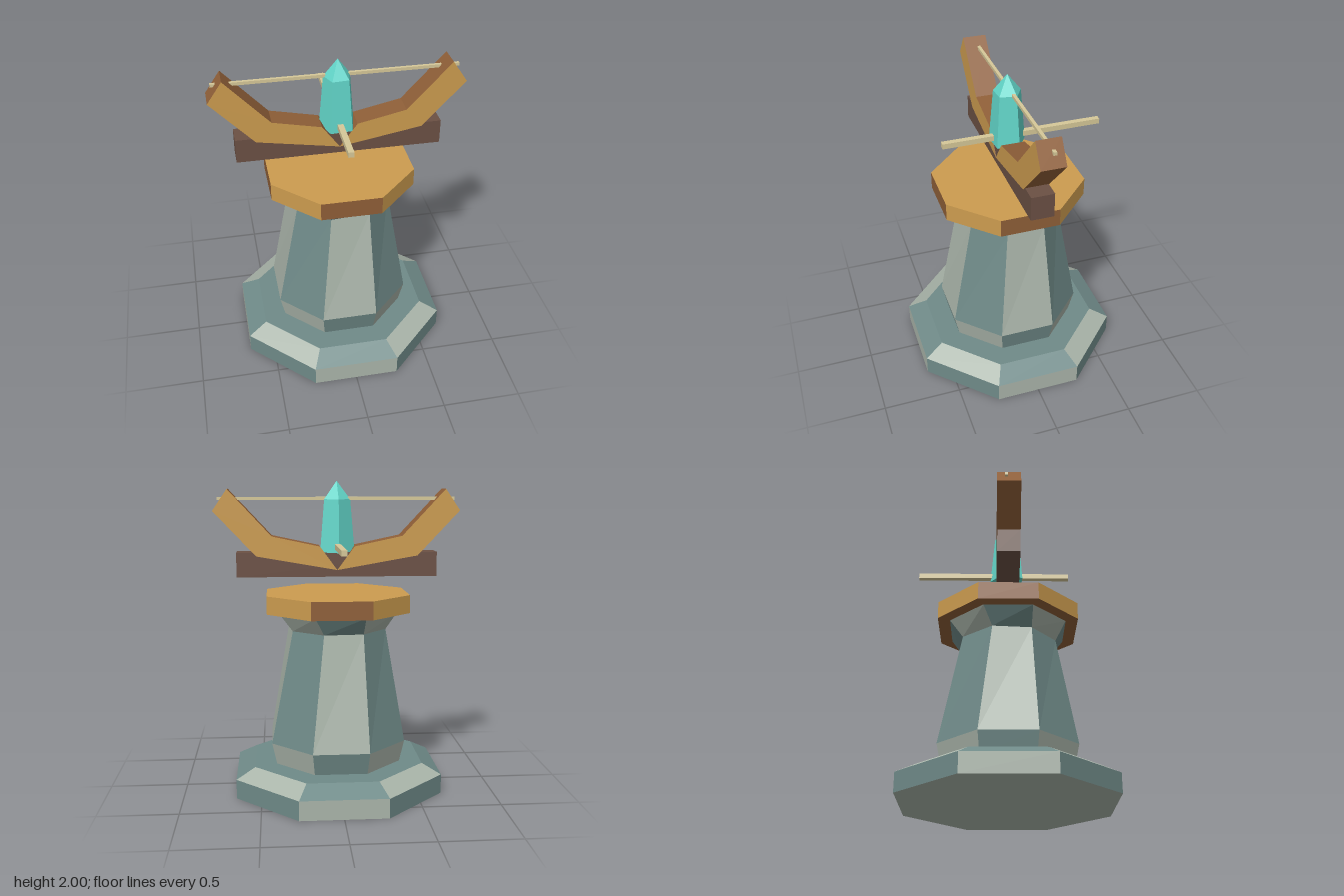
import * as THREE from 'three';

const STONE_LIGHT = 0xaab5aa, STONE_BLUE = 0x6f8a88;
const WOOD_LIGHT = 0xcc9c4f, WOOD = 0x8f5f38, WOOD_DARK = 0x6b5044;
const PALE = 0xd6c898, TEAL = 0x62d6c9;

const material = (color) => new THREE.MeshStandardMaterial({ color, flatShading: true });

function addMesh(parent, name, geometry, color) {
  const mesh = new THREE.Mesh(geometry, material(color));
  mesh.name = name;
  parent.add(mesh);
  return mesh;
}

// Faceted solid from rings [y, cornerRadius, twist]; the side panels alternate
// like a checkerboard between two colours, and each end cap has its own colour.
function facetedSolid(name, sides, rings, even, odd, bottom, top) {
  const group = new THREE.Group();
  group.name = name;
  const byColor = new Map();
  const tri = (color, ...points) => {
    if (!byColor.has(color)) byColor.set(color, []);
    points.forEach((p) => byColor.get(color).push(p.x, p.y, p.z));
  };
  const corner = ([y, r, twist = 0], i) => {
    const a = ((i - 0.5) / sides) * Math.PI * 2 + twist;
    return new THREE.Vector3(Math.sin(a) * r, y, Math.cos(a) * r);
  };
  const first = rings[0], last = rings[rings.length - 1];
  for (let i = 0; i < sides; i++) {
    for (let k = 0; k < rings.length - 1; k++) {
      const color = (i + k) % 2 === 0 ? even : odd;
      const a = corner(rings[k], i), b = corner(rings[k], i + 1);
      const c = corner(rings[k + 1], i + 1), d = corner(rings[k + 1], i);
      tri(color, a, b, c);
      if (rings[k + 1][1] > 0) tri(color, a, c, d);
    }
    tri(bottom, corner(first, i + 1), corner(first, i), new THREE.Vector3(0, first[0], 0));
    if (last[1] > 0) tri(top, corner(last, i), corner(last, i + 1), new THREE.Vector3(0, last[0], 0));
  }
  let n = 0;
  for (const [color, positions] of byColor) {
    const geometry = new THREE.BufferGeometry();
    geometry.setAttribute('position', new THREE.Float32BufferAttribute(positions, 3));
    geometry.computeVertexNormals();
    addMesh(group, `${name}Panels${++n}`, geometry, color);
  }
  return group;
}

// Corner radius of an octagon from the distance to its flat sides
const oct = (apothem) => apothem / Math.cos(Math.PI / 8);

// Half of the bow: an extruded bent limb with light faces and darker edges
function bowArm(side) {
  const profile = [[0, 1.44], [0.515, 1.53], [0.783, 1.815], [0.69, 1.95], [0.415, 1.655], [0.11, 1.59]];
  const shape = new THREE.Shape(profile.map(([x, y]) => new THREE.Vector2(x * side, y)));
  const geometry = new THREE.ExtrudeGeometry(shape, { depth: 0.15, bevelEnabled: false });
  geometry.translate(0, 0, -0.075);
  const mesh = new THREE.Mesh(geometry, [material(WOOD_LIGHT), material(WOOD)]);
  mesh.name = side > 0 ? 'leftBowArm' : 'rightBowArm';
  return mesh;
}

export function createModel() {
  const model = new THREE.Group();
  model.name = 'crystalBallistaTower';

  // Stone foot with a bevelled rim
  model.add(facetedSolid('base', 8,
    [[0, oct(0.66)], [0.125, oct(0.66)], [0.19, oct(0.54)]],
    STONE_LIGHT, STONE_BLUE, STONE_LIGHT, STONE_BLUE));

  // Tapering tower, slightly twisted at the neck, with a flared collar
  model.add(facetedSolid('tower', 8,
    [[0.19, oct(0.4)], [0.33, oct(0.43)], [1.06, 0.325, 0.08], [1.175, oct(0.375)]],
    STONE_BLUE, STONE_LIGHT, STONE_BLUE, STONE_BLUE));

  // Wooden deck
  model.add(facetedSolid('deck', 8,
    [[1.175, oct(0.452)], [1.29, oct(0.452)]],
    WOOD, WOOD_LIGHT, WOOD, WOOD_LIGHT));

  // Floating bow: beam, two arms, string and bolt
  const bow = new THREE.Group();
  bow.name = 'bow';
  model.add(bow);
  addMesh(bow, 'beam', new THREE.BoxGeometry(1.28, 0.155, 0.142), WOOD_DARK).position.y = 1.475;
  for (const side of [1, -1]) bow.add(bowArm(side));
  addMesh(bow, 'bowString', new THREE.BoxGeometry(1.51, 0.02, 0.02), PALE).position.set(0, 1.89, -0.016);
  addMesh(bow, 'bolt', new THREE.BoxGeometry(0.036, 0.034, 1.02), PALE).position.set(0, 1.59, -0.095);

  // Pointed five-sided crystal
  model.add(facetedSolid('crystal', 5,
    [[1.55, 0.117, 0.08], [1.885, 0.088, 0.08], [2, 0, 0.08]],
    TEAL, TEAL, TEAL, TEAL));

  return model;
}
